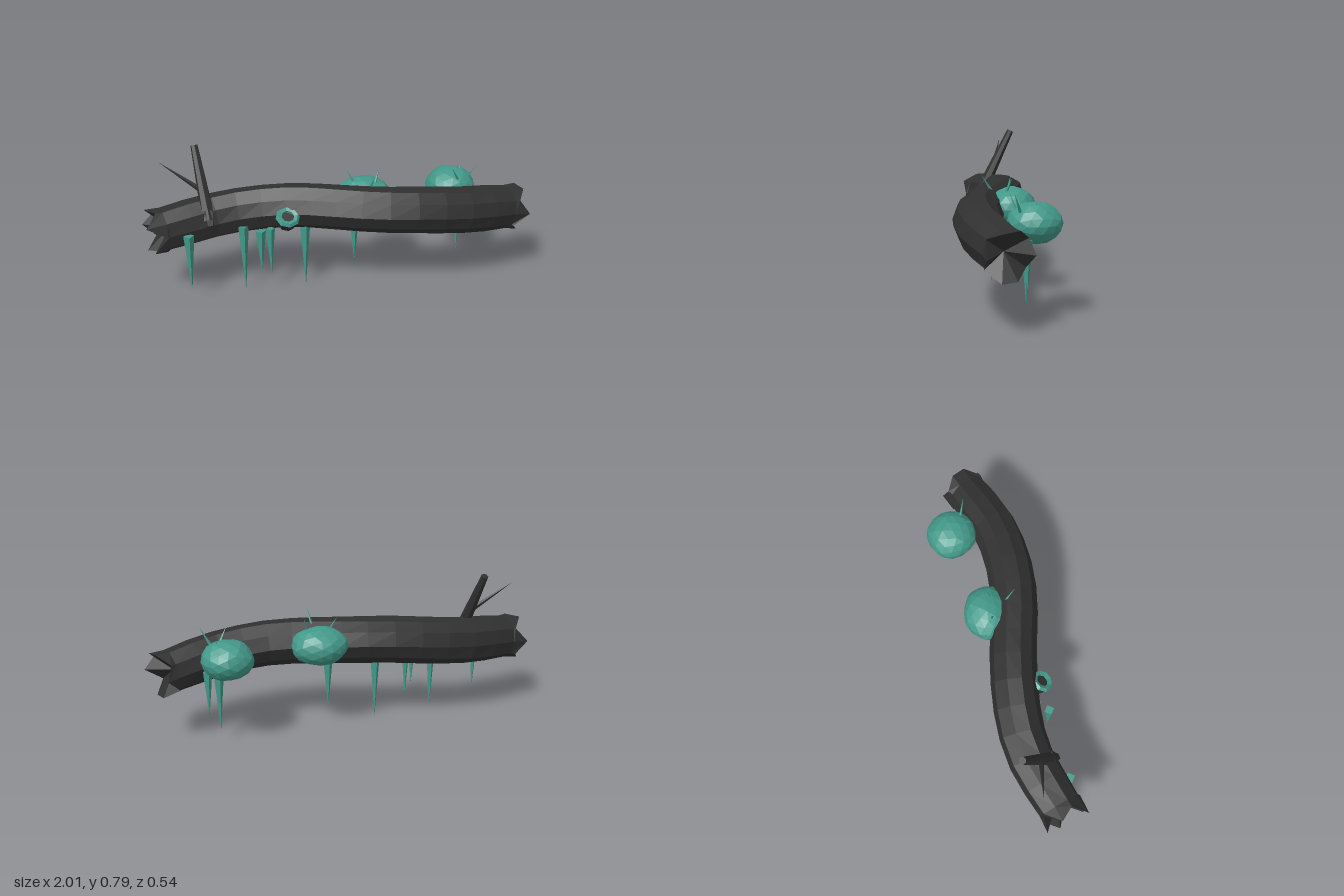
import * as THREE from 'three';

const V = (x, y, z) => new THREE.Vector3(x, y, z);
const UP = V(0, 1, 0);

export function createModel() {
  const group = new THREE.Group();
  const bark = new THREE.MeshStandardMaterial({ color: 0x303030, flatShading: true });
  bark.name = 'charred bark';
  const moss = new THREE.MeshStandardMaterial({ color: 0x43998a, flatShading: true });
  moss.name = 'teal moss';

  const add = (name, geometry, material, parent = group) => {
    const mesh = new THREE.Mesh(geometry, material);
    mesh.name = name;
    parent.add(mesh);
    return mesh;
  };
  // tapered limb between two points
  const limb = (name, from, to, r0, r1, sides, material) => {
    const dir = to.clone().sub(from);
    const mesh = add(name, new THREE.CylinderGeometry(r1, r0, dir.length(), sides), material);
    mesh.position.copy(from).add(to).multiplyScalar(0.5);
    mesh.quaternion.setFromUnitVectors(UP, dir.normalize());
    return mesh;
  };

  add('log', logGeometry(), bark);

  // upright branch with a twig
  limb('branch', V(-0.665, 0.43, -0.055), V(-0.695, 0.78, -0.232), 0.036, 0.019, 7, bark);
  limb('branchRoot', V(-0.665, 0.47, -0.075), V(-0.665, 0.405, -0.03), 0.036, 0.022, 5, bark);
  limb('twig', V(-0.69, 0.575, -0.13), V(-0.88, 0.715, -0.2), 0.015, 0.0005, 5, bark);

  // hollow knot on the front of the log
  const knot = new THREE.Group();
  knot.name = 'knot';
  knot.position.set(-0.275, 0.445, 0.05);
  knot.rotation.x = 0.55;
  group.add(knot);
  add('knotStump', new THREE.CylinderGeometry(0.058, 0.045, 0.06, 8), bark, knot).position.y = -0.03;
  const rim = add('knotRim', new THREE.TorusGeometry(0.047, 0.017, 5, 8), moss, knot);
  rim.rotation.x = -Math.PI / 2;
  limb('knotStem', V(-0.275, 0.42, -0.06), V(-0.275, 0.41, 0.035), 0.04, 0.04, 8, bark);

  // moss clumps on the back of the log: centre, then half sizes
  const clumps = [
    [V(0.172, 0.467, -0.075), V(0.148, 0.1, 0.122), -0.25],
    [V(0.665, 0.466, -0.085), V(0.132, 0.1, 0.132), 0.1],
  ];
  clumps.forEach(([centre, size, turn], k) => {
    const geo = new THREE.IcosahedronGeometry(1, 2);
    const p = geo.attributes.position;
    for (let i = 0; i < p.count; i++) {
      const v = V(p.getX(i), p.getY(i), p.getZ(i));
      v.multiplyScalar(1 + 0.035 * Math.sin(v.x * 5 + k * 2) * Math.cos(v.z * 4 + v.y * 3));
      p.setXYZ(i, v.x, v.y, v.z);
    }
    geo.computeVertexNormals();
    const clump = add('mossClump', geo, moss);
    clump.position.copy(centre);
    clump.scale.copy(size);
    clump.rotation.y = turn;
  });

  // thin shoots: base, tip
  const shoots = [
    [0.12, 0.53, -0.06, 0.08, 0.612, -0.085],
    [0.17, 0.53, 0.02, 0.18, 0.632, 0.085],
    [0.215, 0.53, -0.03, 0.25, 0.618, -0.058],
    [0.685, 0.51, 0.0, 0.63, 0.605, 0.028],
    [0.705, 0.52, -0.06, 0.72, 0.57, -0.085],
    [0.72, 0.515, -0.01, 0.77, 0.615, 0.03],
  ];
  for (const [a, b, c, d, e, f] of shoots) limb('shoot', V(a, b, c), V(d, e, f), 0.009, 0.0004, 4, moss);
  limb('bud', V(0.09, 0.45, 0.15), V(0.09, 0.5, 0.15), 0.013, 0.0005, 4, moss);

  // hanging icicles: x, z, top, tip, radius
  const icicles = [
    [-0.78, -0.005, 0.38, 0.07, 0.028], [-0.49, -0.044, 0.38, 0.012, 0.028],
    [-0.415, 0.036, 0.38, 0.14, 0.027], [-0.355, -0.01, 0.365, 0.09, 0.024],
    [-0.165, -0.028, 0.36, 0, 0.028], [0.105, -0.025, 0.36, 0.105, 0.026],
    [0.7, -0.04, 0.4, 0.085, 0.028], [0.755, -0.035, 0.4, 0.165, 0.024],
  ];
  for (const [x, z, top, tip, r] of icicles) limb('icicle', V(x, top, z), V(x, tip, z), r, 0.0005, 4, moss);

  return group;
}

// bent ten-sided log with splintered, hollowed ends
function logGeometry() {
  const curve = new THREE.CatmullRomCurve3([
    V(-0.89, 0.385, -0.112), V(-0.6, 0.415, -0.155), V(-0.4, 0.437, -0.132), V(-0.2, 0.452, -0.075),
    V(0, 0.45, 0.005), V(0.2, 0.448, 0.09), V(0.4, 0.443, 0.14), V(0.65, 0.418, 0.152), V(0.91, 0.38, 0.1),
  ]);
  const sides = 10, rings = 14;
  const splinterA = [0.03, 0.1, 0, 0.08, 0, 0.09, 0.02, 0.08, 0, 0.07];
  const splinterB = [0.07, 0.01, 0.08, 0, 0.07, 0.07, 0, 0.06, 0.02, 0.06];
  const pos = [], index = [];
  const put = (v) => pos.push(v.x, v.y, v.z);

  for (let i = 0; i <= rings + 2; i++) {
    const u = Math.min(Math.max((i - 1) / rings, 0), 1);
    const centre = curve.getPointAt(u), t = curve.getTangentAt(u);
    const side = t.clone().cross(UP).normalize();
    const up = side.clone().cross(t);
    const jag = i === 0 ? splinterA : i === rings + 2 ? splinterB : null;
    for (let j = 0; j < sides; j++) {
      const a = (j + 0.5) / sides * Math.PI * 2;
      const r = 0.12 * (1 + 0.035 * Math.sin(j * 2.4 + i * 0.35)) * (u === 0 || u === 1 ? 0.95 : 1);
      const v = centre.clone().addScaledVector(up, Math.cos(a) * r).addScaledVector(side, Math.sin(a) * r);
      if (jag) v.addScaledVector(t, (i === 0 ? -1 : 1) * (0.008 + jag[j]));
      if (jag) v.addScaledVector(up, Math.cos(a) * 0.008).addScaledVector(side, Math.sin(a) * 0.008);
      put(v);
    }
  }
  for (let i = 0; i < rings + 2; i++) {
    for (let j = 0; j < sides; j++) {
      const a = i * sides + j, b = i * sides + (j + 1) % sides;
      index.push(a, b, a + sides, b, b + sides, a + sides);
    }
  }
  // recessed end fans
  const first = pos.length / 3, last = (rings + 2) * sides;
  put(curve.getPointAt(0.015));
  put(curve.getPointAt(0.99));
  for (let j = 0; j < sides; j++) {
    const k = (j + 1) % sides;
    index.push(first, k, j, first + 1, last + j, last + k);
  }
  const geo = new THREE.BufferGeometry();
  geo.setAttribute('position', new THREE.Float32BufferAttribute(pos, 3));
  geo.setIndex(index);
  geo.computeVertexNormals();
  return geo;
}
